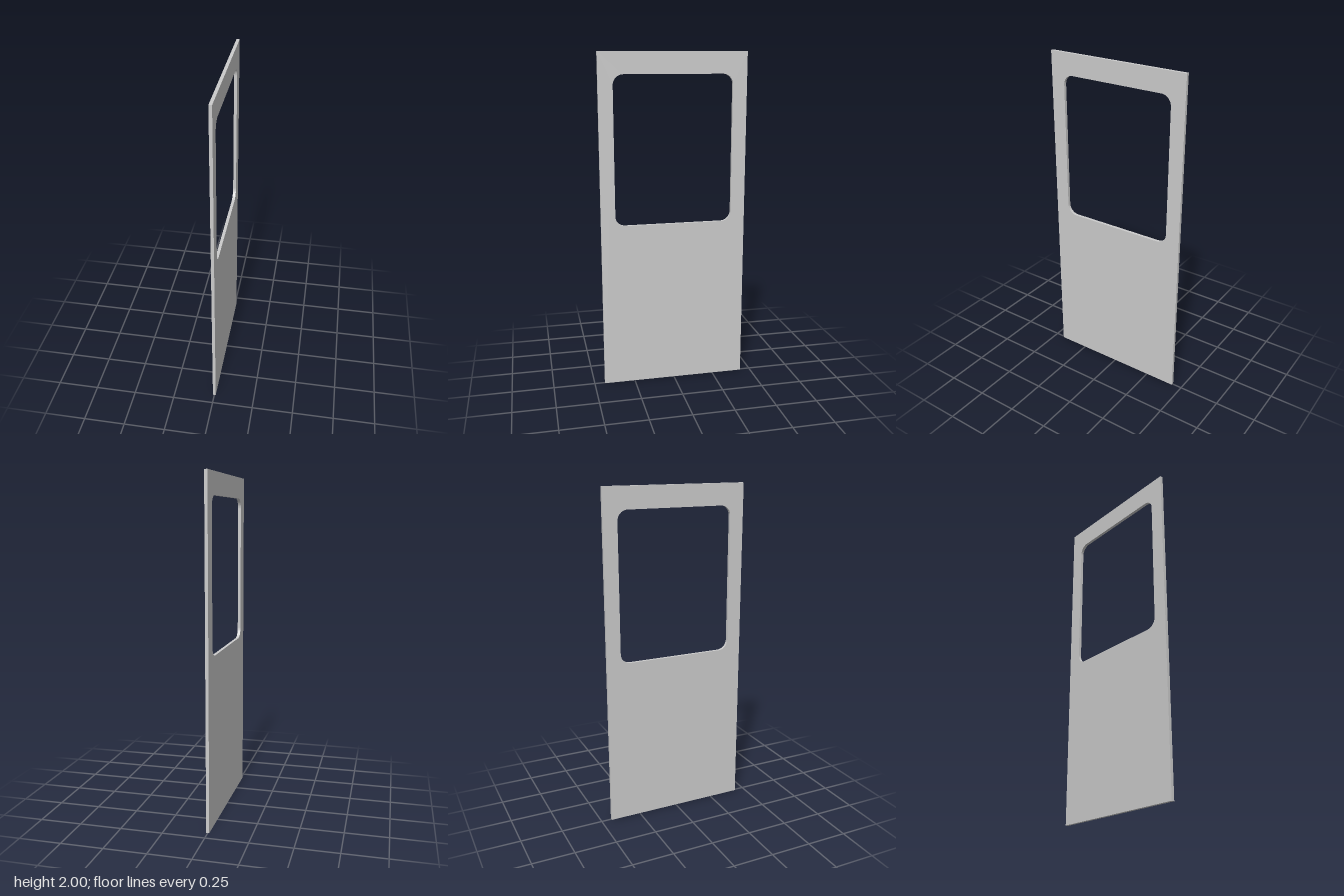
import * as THREE from 'three';

const WIDTH = 0.875, HEIGHT = 2, THICKNESS = 0.018;
const WINDOW = { halfWidth: 0.352, bottom: 0.997, top: 1.873, radius: 0.06 };

// Rounded rectangle for the window opening
function windowPath({ halfWidth: w, bottom: b, top: t, radius: r }) {
  const path = new THREE.Path();
  path.absarc(w - r, t - r, r, 0, Math.PI / 2);
  path.absarc(-w + r, t - r, r, Math.PI / 2, Math.PI);
  path.absarc(-w + r, b + r, r, Math.PI, Math.PI * 1.5);
  path.absarc(w - r, b + r, r, Math.PI * 1.5, Math.PI * 2);
  path.closePath();
  return path;
}

export function createModel() {
  const group = new THREE.Group();
  group.name = 'door';

  // Flat door panel with the window cut through it
  const outline = new THREE.Shape([
    new THREE.Vector2(-WIDTH / 2, 0),
    new THREE.Vector2(WIDTH / 2, 0),
    new THREE.Vector2(WIDTH / 2, HEIGHT),
    new THREE.Vector2(-WIDTH / 2, HEIGHT),
  ]);
  outline.holes.push(windowPath(WINDOW));

  const geometry = new THREE.ExtrudeGeometry(outline, {
    depth: THICKNESS, bevelEnabled: false, curveSegments: 6,
  });
  geometry.translate(0, 0, -THICKNESS / 2);
  geometry.rotateY(Math.PI / 2); // panel faces sideways, along x

  const panel = new THREE.Mesh(geometry, new THREE.MeshStandardMaterial({ color: 0xcccccc }));
  panel.name = 'doorPanel';
  group.add(panel);
  return group;
}
